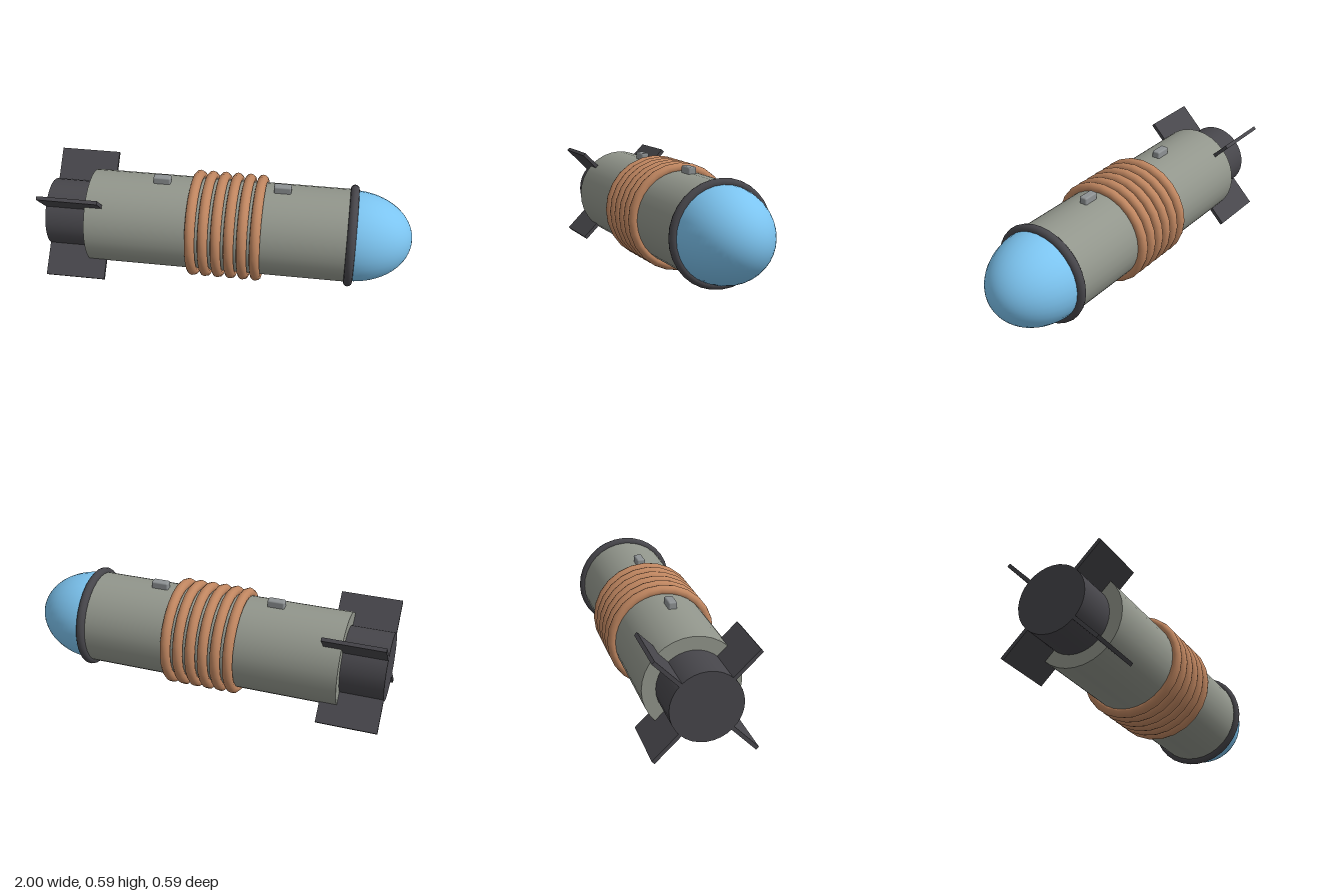
import * as THREE from 'three';
import { RoundedBoxGeometry } from 'three/addons/geometries/RoundedBoxGeometry.js';

const AXIS_Y = 0.297;

export function createModel() {
  const model = new THREE.Group();
  model.name = 'finnedCapsule';
  // everything is arranged around a horizontal axis along x
  const hull = new THREE.Group();
  hull.name = 'hull';
  hull.position.y = AXIS_Y;
  model.add(hull);

  const mat = (color) => new THREE.MeshStandardMaterial({ color });
  const grey = mat(0x92968c), dark = mat(0x47464b), copper = mat(0xc08660);
  const blue = mat(0x7cc4f0), steel = mat(0x8e9294);

  const add = (name, geometry, material, x = 0, y = 0) => {
    const mesh = new THREE.Mesh(geometry, material);
    mesh.name = name;
    mesh.position.set(x, y, 0);
    hull.add(mesh);
    return mesh;
  };
  const tube = (r, x0, x1) =>
    new THREE.CylinderGeometry(r, r, x1 - x0, 32).rotateZ(-Math.PI / 2).translate((x0 + x1) / 2, 0, 0);
  const ring = (r, t, segments) =>
    new THREE.TorusGeometry(r, t, 12, segments).rotateY(Math.PI / 2);

  // main cylinder and tail nozzle
  add('body', tube(0.255, -0.765, 0.672), grey);
  add('nozzle', tube(0.184, -1, -0.76), dark);

  // stretched half-sphere nose with its collar
  const dome = new THREE.SphereGeometry(0.25, 32, 16, 0, Math.PI * 2, 0, Math.PI / 2)
    .rotateZ(-Math.PI / 2).scale(1.312, 1, 1);
  add('noseDome', dome, blue, 0.672);
  add('noseCollar', ring(0.256, 0.024, 32), dark, 0.672);

  // coil of six rings around the middle
  for (let i = 0; i < 6; i++) {
    add('coilRing', ring(0.267, 0.028, 24), copper, -0.182 + i * 0.07);
  }

  // four diagonal tail fins
  for (let i = 0; i < 4; i++) {
    const fin = new THREE.BoxGeometry(0.33, 0.245, 0.02).translate(0, 0.2425, 0);
    add('tailFin', fin, dark, -0.835).rotation.x = Math.PI / 4 + i * Math.PI / 2;
  }

  // two small lugs on top
  for (const x of [-0.37, 0.287]) {
    add('topLug', new RoundedBoxGeometry(0.094, 0.046, 0.046, 2, 0.009), steel, x, 0.268);
  }

  return model;
}
